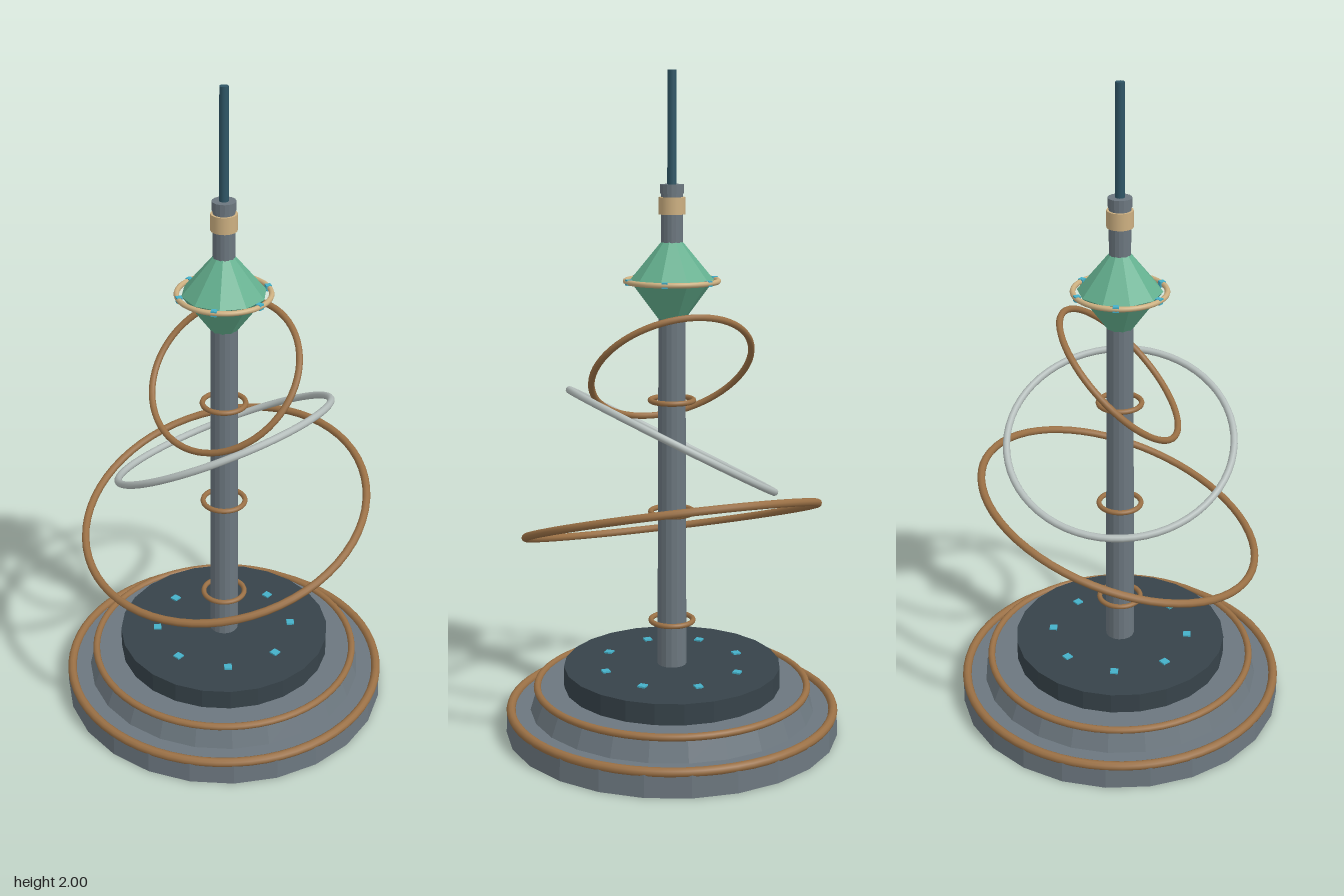
import * as THREE from 'three';

export function createModel() {
  const model = new THREE.Group();
  model.name = 'armillarySpire';

  const paint = (name, color, flatShading = false) => {
    const m = new THREE.MeshStandardMaterial({ color, flatShading });
    m.name = name;
    return m;
  };
  const steel = paint('steel grey', 0x6c777f, true);
  const dark = paint('dark slate', 0x37434a, true);
  const copper = paint('copper', 0x9a7045);
  const silver = paint('silver', 0xb4bdbb);
  const brass = paint('pale brass', 0xcdb081);
  const green = paint('green crystal', 0x64b08f, true);
  const teal = paint('deep teal', 0x2f5666);
  const cyan = paint('cyan light', 0x45b0c8);

  const add = (name, geometry, material, y) => {
    const mesh = new THREE.Mesh(geometry, material);
    mesh.name = name;
    mesh.position.y = y;
    model.add(mesh);
    return mesh;
  };
  // Upright cylinder spanning y0 to y1
  const column = (name, rTop, rBottom, y0, y1, sides, material) =>
    add(name, new THREE.CylinderGeometry(rTop, rBottom, y1 - y0, sides), material, (y0 + y1) / 2);
  // Ring lying flat, then tilted about x and z
  const ring = (name, radius, tube, y, material, tiltX = 0, tiltZ = 0) => {
    const g = new THREE.TorusGeometry(radius, tube, 10, 64).rotateX(Math.PI / 2);
    add(name, g, material, y).rotation.set(tiltX, 0, tiltZ);
  };
  // Small cubes spaced evenly around the axis
  const lights = (name, count, radius, size, y, material) => {
    for (let i = 0; i < count; i++) {
      const a = (i / count) * Math.PI * 2;
      const g = new THREE.BoxGeometry(size, size, size);
      const cube = add(name, g, material, y);
      cube.position.set(Math.cos(a) * radius, y, Math.sin(a) * radius);
      cube.rotation.y = -a;
    }
  };

  // Stepped base with trim rings
  column('baseLower', 0.512, 0.515, 0, 0.07, 24, steel);
  column('baseMiddle', 0.412, 0.44, 0.07, 0.14, 24, steel);
  column('baseUpper', 0.335, 0.335, 0.13, 0.205, 24, dark);
  ring('baseLowerTrim', 0.5, 0.014, 0.072, copper);
  ring('baseMiddleTrim', 0.418, 0.011, 0.14, copper);
  lights('baseLight', 8, 0.217, 0.024, 0.198, cyan);

  // Mast and its bands
  column('mast', 0.04, 0.045, 0.2, 1.3, 16, steel);
  for (const y of [0.345, 0.69, 1.035]) ring('mastBand', 0.065, 0.008, y, copper);

  // Tilted orbit rings
  ring('orbitLarge', 0.447, 0.012, 0.66, copper, 0.33, 0);
  ring('orbitMiddle', 0.345, 0.011, 0.91, silver, 0, 0.5);
  ring('orbitSmall', 0.247, 0.01, 1.13, copper, Math.PI / 4, 0);

  // Crystal and its ring
  column('crystalLower', 0.125, 0.04, 1.28, 1.395, 10, green);
  column('crystalUpper', 0.03, 0.125, 1.395, 1.51, 10, green);
  ring('crystalRing', 0.137, 0.008, 1.393, brass);
  lights('crystalLight', 6, 0.135, 0.017, 1.393, cyan);

  // Neck, collar and antenna
  column('neck', 0.032, 0.032, 1.5, 1.675, 16, steel);
  column('collar', 0.039, 0.039, 1.588, 1.638, 16, brass);
  column('neckCap', 0.035, 0.035, 1.648, 1.675, 16, steel);
  column('antenna', 0.013, 0.014, 1.67, 2.0, 12, teal);

  return model;
}
